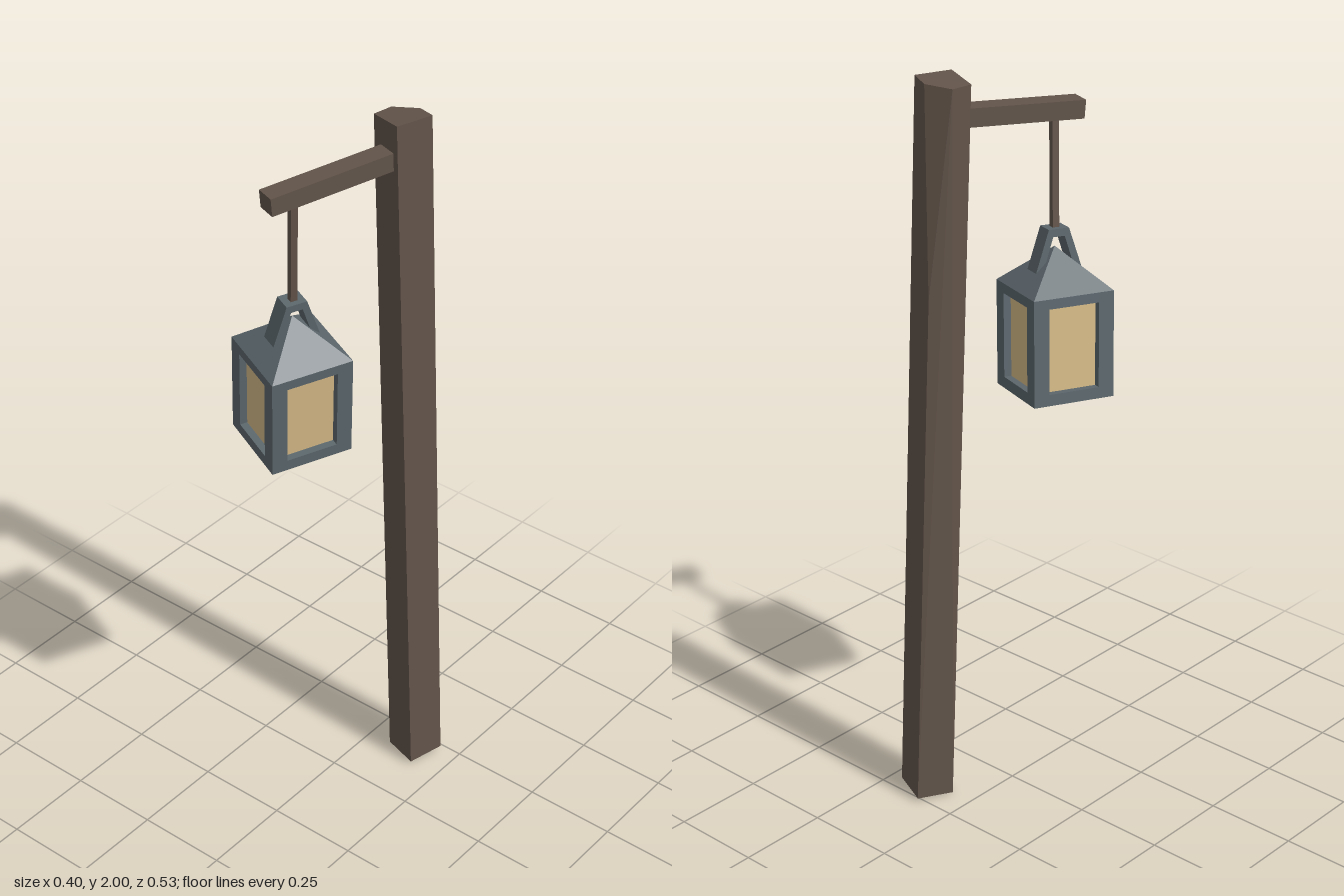
import * as THREE from 'three';
import { ConvexGeometry } from 'three/addons/geometries/ConvexGeometry.js';

const wood = new THREE.MeshStandardMaterial({ color: 0x62544a });
wood.name = 'wood';
const metal = new THREE.MeshStandardMaterial({ color: 0x5c676d });
metal.name = 'metal';
const glow = new THREE.MeshStandardMaterial({ color: 0xd6ba88 });
glow.name = 'glow';

const V = (x, y, z) => new THREE.Vector3(x, y, z);

function add(parent, name, geometry, material, x = 0, y = 0, z = 0) {
  const mesh = new THREE.Mesh(geometry, material);
  mesh.name = name;
  mesh.position.set(x, y, z);
  parent.add(mesh);
  return mesh;
}

const box = (w, h, d) => new THREE.BoxGeometry(w, h, d);

// Turn an object so its local y follows up and its local z follows forward
function orient(object, up, forward) {
  const y = up.clone().normalize();
  const x = y.clone().cross(forward).normalize();
  const z = x.clone().cross(y);
  object.quaternion.setFromRotationMatrix(new THREE.Matrix4().makeBasis(x, y, z));
}

// Square beam running between two points
function beam(parent, name, a, b, w, h, material) {
  const dir = b.clone().sub(a);
  const mid = a.clone().add(b).multiplyScalar(0.5);
  const mesh = add(parent, name, box(w, h, dir.length()), material, mid.x, mid.y, mid.z);
  const z = dir.normalize();
  const side = Math.abs(z.y) > 0.95 ? V(0.92, 0, 0.39) : V(0, 1, 0).cross(z);
  orient(mesh, z.clone().cross(side), z);
  return mesh;
}

function buildLantern() {
  const lantern = new THREE.Group();
  lantern.name = 'lantern';
  const S = 0.222, H = 0.28, P = 0.042, T = 0.026, B = 0.03;
  const e = (S - P) / 2;

  // Corner posts, then rails on each side
  for (const sx of [-1, 1]) for (const sz of [-1, 1])
    add(lantern, 'cornerPost', box(P, H, P), metal, sx * e, -H / 2, sz * e);
  for (const s of [-1, 1]) for (const [h, y] of [[T, -T / 2], [B, -H + B / 2]]) {
    add(lantern, 'rail', box(S - 2 * P, h, P), metal, 0, y, s * e);
    add(lantern, 'rail', box(P, h, S - 2 * P), metal, s * e, y, 0);
  }

  // Glowing core seen through the windows
  add(lantern, 'glowingCore', box(S - 0.04, H - 0.025, S - 0.04), glow, 0, -H / 2 + 0.006, 0);

  // Pyramid roof
  const r = S / 2;
  add(lantern, 'roof', new ConvexGeometry([
    V(-r, 0, -r), V(r, 0, -r), V(r, 0, r), V(-r, 0, r), V(0, 0.102, 0),
  ]), metal);

  // Tapered carrying loop
  const loop = new THREE.Shape([
    [-0.07, 0.025], [-0.028, 0.152], [0.028, 0.152], [0.07, 0.025],
    [0.05, 0.025], [0.016, 0.132], [-0.016, 0.132], [-0.05, 0.025],
  ].map(([x, y]) => new THREE.Vector2(x, y)));
  const handle = new THREE.ExtrudeGeometry(loop, { depth: 0.05, bevelEnabled: false });
  handle.translate(0, 0, -0.025).rotateY(Math.PI / 2);
  add(lantern, 'handle', handle, metal);

  lantern.position.set(-0.037, 1.42, 0.119);
  orient(lantern, V(0.065, 1, 0.06), V(-0.39, 0, 0.92));
  return lantern;
}

export function createModel() {
  const model = new THREE.Group();
  model.name = 'lanternPost';

  // Leaning post with one back corner hewn off near the top
  add(model, 'post', new ConvexGeometry([
    V(0.104, 0.01, -0.265), V(0.2, 0.018, -0.227), V(0.17, 0.01, -0.13), V(0.066, 0, -0.168),
    V(0.073, 1.45, -0.227),
    V(0.023, 1.988, -0.121), V(0.118, 1.998, -0.088), V(0.15, 2, -0.184),
    V(0.098, 1.993, -0.205), V(0.032, 1.987, -0.177),
  ]), wood);

  // Sloping arm and hanging rod
  beam(model, 'arm', V(0.087, 1.897, -0.13), V(-0.037, 1.868, 0.209), 0.055, 0.048, wood);
  beam(model, 'hangingRod', V(-0.027, 1.56, 0.128), V(-0.006, 1.86, 0.147), 0.018, 0.018, wood);

  model.add(buildLantern());
  return model;
}
